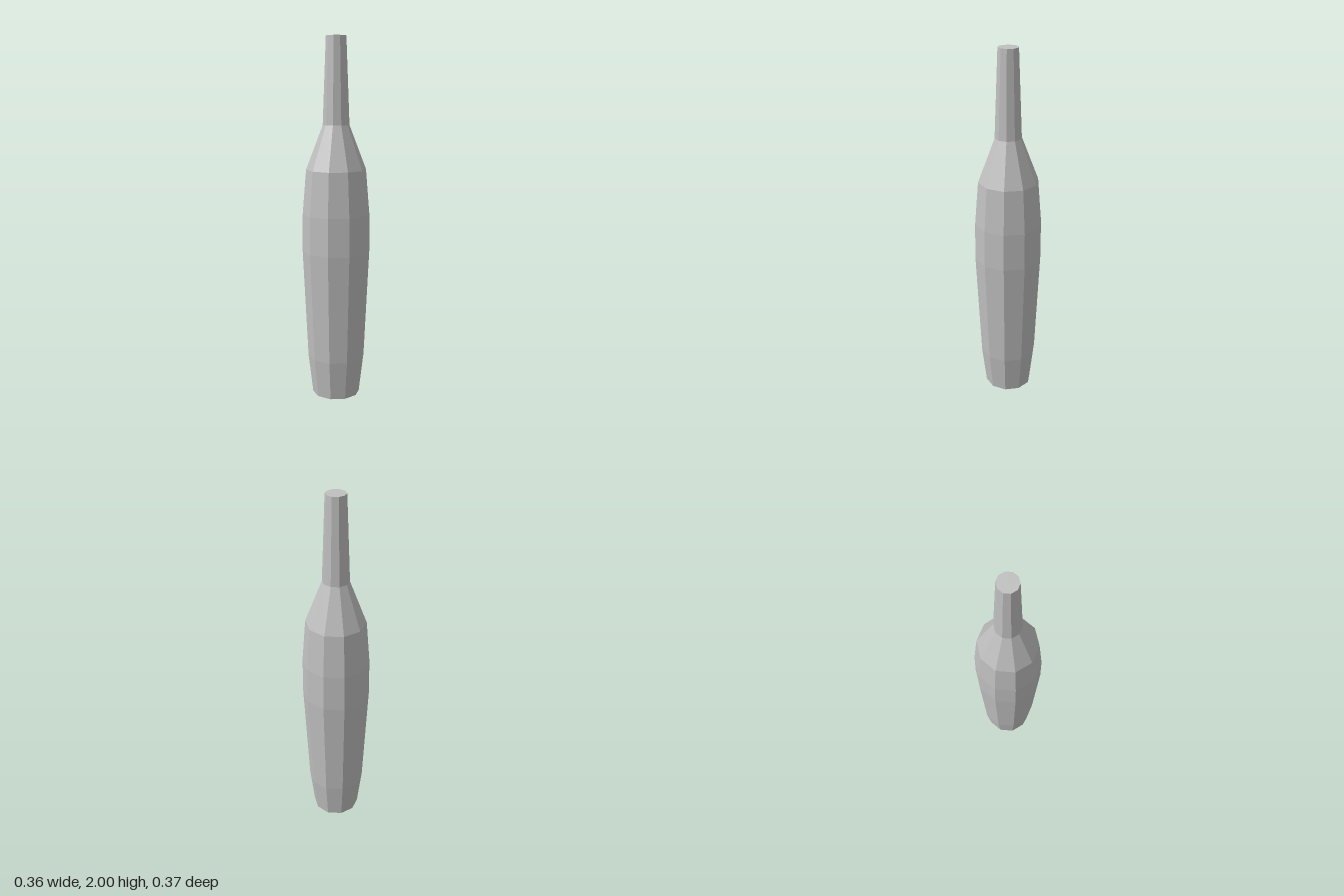
import * as THREE from 'three';

export function createModel() {
  const group = new THREE.Group();
  group.name = 'bottle';
  const grey = new THREE.MeshStandardMaterial({ color: 0xc0c0c0, flatShading: true });
  grey.name = 'plain grey';

  // Ten-sided turned part from [radius, height] pairs, bottom to top
  const turned = (name, profile) => {
    const points = profile.map(([r, y]) => new THREE.Vector2(r, y));
    const mesh = new THREE.Mesh(new THREE.LatheGeometry(points, 10), grey);
    mesh.name = name;
    group.add(mesh);
  };

  // Closed base, swelling belly and sloping shoulder
  turned('body', [[0, 0], [0.132, 0], [0.158, 0.22], [0.187, 0.83], [0.185, 1.04], [0.165, 1.285], [0.073, 1.527]]);
  // Slim tapering neck with a flat closed top
  turned('neck', [[0.073, 1.527], [0.055, 2], [0, 2]]);

  return group;
}
